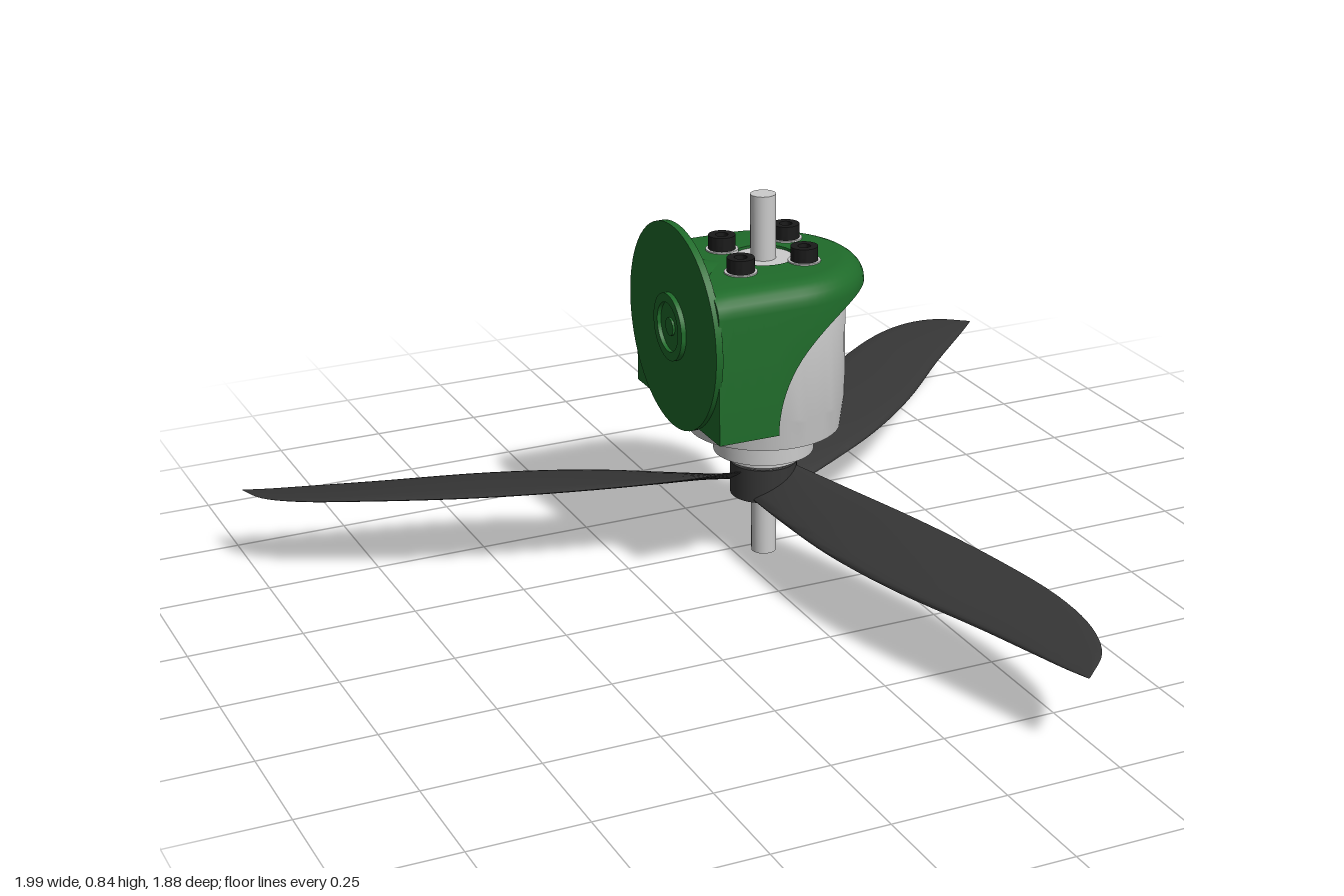
import * as THREE from 'three';
import { toCreasedNormals } from 'three/addons/utils/BufferGeometryUtils.js';

const mat = (color) => new THREE.MeshStandardMaterial({ color, side: THREE.DoubleSide });
const metal = mat(0xcccccc), green = mat(0x1f6b2a), dark = mat(0x363636), black = mat(0x1a1a1a);

function add(parent, name, geometry, material, x = 0, y = 0, z = 0) {
  const mesh = new THREE.Mesh(geometry, material);
  mesh.name = name;
  mesh.position.set(x, y, z);
  parent.add(mesh);
  return mesh;
}

// Skin over closed cross-section loops; wrap joins the last loop to the first
function skin(loops, wrap, crease) {
  const n = loops[0].length, m = loops.length, index = [];
  const pts = loops.flat();
  for (let i = 0; i < (wrap ? m : m - 1); i++) {
    for (let j = 0; j < n; j++) {
      const a = i * n + j, b = i * n + (j + 1) % n;
      const c = ((i + 1) % m) * n + j, d = ((i + 1) % m) * n + (j + 1) % n;
      index.push(a, b, d, a, d, c);
    }
  }
  // Turn the faces outward if the enclosed volume is negative
  let volume = 0;
  const v = new THREE.Vector3();
  for (let i = 0; i < index.length; i += 3) {
    volume += pts[index[i]].dot(v.crossVectors(pts[index[i + 1]], pts[index[i + 2]]));
  }
  if (volume < 0) index.reverse();
  const g = new THREE.BufferGeometry().setFromPoints(pts);
  g.setIndex(index);
  return toCreasedNormals(g, crease);
}

const lathe = (points) => toCreasedNormals(
  new THREE.LatheGeometry(points.map(([r, y]) => new THREE.Vector2(r, y)), 48), 0.6);

// Lower edge of the bracket wall: flat at the back, sweeping up to a lip
function wallBottom(x) {
  if (x <= -0.067) return 0.37;
  const u = Math.min(1, (0.218 - x) / 0.285);
  return 0.37 + 0.28 * Math.sqrt(Math.max(0, 1 - u * u));
}

// D-shaped bracket shell with a rounded top edge and a shaft hole
function bracketGeometry() {
  const half = [];
  for (let i = 0; i <= 16; i++) {
    const a = i / 16 * Math.PI / 2;
    half.push((r) => [r * Math.cos(a), r * Math.sin(a)]);
  }
  for (let i = 1; i <= 10; i++) half.push((r) => [-0.067 * (1 - (1 - i / 10) ** 2), r]);
  for (let i = 1; i <= 4; i++) half.push((r, back) => [-0.067 - (back - 0.067) * i / 4, r]);
  for (let i = 1; i <= 8; i++) half.push((r, back) => [-back, r * (1 - i / 8)]);
  const section = (at, sign) => {
    const loop = [];
    const put = ([x, z], y) => loop.push(new THREE.Vector3(x, y, z * sign));
    const [ox, oz] = at(0.22, 0.207), angle = Math.atan2(oz, ox);
    const hole = [0.07 * Math.cos(angle), 0.07 * Math.sin(angle)];
    put(hole, 0.70);
    for (let k = 0; k <= 6; k++) {
      const t = k / 6 * Math.PI / 2;
      put(at(0.165 + 0.055 * Math.sin(t), 0.207), 0.65 + 0.05 * Math.cos(t));
    }
    const inner = at(0.185, 0.175);
    put([ox, oz], wallBottom(ox) - 0.001);
    put(inner, wallBottom(inner[0]));
    put(inner, 0.66);
    put(hole, 0.66);
    return loop;
  };
  const loops = half.map((at) => section(at, 1));
  for (let i = half.length - 2; i > 0; i--) loops.push(section(half[i], -1));
  return skin(loops, true, 0.6);
}

// Twisted blade pointing along +z: sections between a low and a high edge
function bladeGeometry() {
  // distance out, low edge offset and height, high edge offset and height
  const stations = [
    [0.03, -0.05, 0.150, 0.055, 0.212], [0.2, -0.05, 0.155, 0.112, 0.205],
    [0.4, -0.04, 0.160, 0.17, 0.202], [0.62, 0.0, 0.163, 0.22, 0.200],
    [0.86, 0.07, 0.165, 0.251, 0.198], [1.0, 0.107, 0.166, 0.245, 0.190],
    [1.09, 0.13, 0.167, 0.212, 0.181], [1.15, 0.145, 0.170, 0.149, 0.171],
  ];
  const low = new THREE.CatmullRomCurve3(stations.map((s) => new THREE.Vector3(s[1], s[2], s[0])));
  const high = new THREE.CatmullRomCurve3(stations.map((s) => new THREE.Vector3(s[3], s[4], s[0])));
  const loops = [];
  for (let i = 0; i <= 35; i++) {
    const a = low.getPoint(i / 35), b = high.getPoint(i / 35);
    const thick = 0.05 * a.distanceTo(b);
    const loop = [];
    for (let k = 0; k < 20; k++) {
      const t = k / 20 * Math.PI * 2;
      const f = ((1 - Math.cos(t)) / 2) ** 1.4;
      const p = a.clone().lerp(b, f);
      p.y += thick * Math.sin(t);
      loop.push(p);
    }
    loops.push(loop);
  }
  return skin(loops, false, 0.9);
}

export function createModel() {
  const model = new THREE.Group();
  model.name = 'motorWithPropeller';
  const unit = new THREE.Group();
  unit.name = 'motorUnit';
  unit.position.set(0.067, 0, -0.217);
  model.add(unit);

  // Shaft and motor body
  add(unit, 'shaft', new THREE.CylinderGeometry(0.028, 0.028, 0.84, 24), metal, 0, 0.42, 0);
  add(unit, 'motorBody', lathe([
    [0, 0.222], [0.07, 0.222], [0.085, 0.232], [0.085, 0.25], [0.112, 0.25], [0.112, 0.308],
    [0.17, 0.31], [0.178, 0.37], [0.18, 0.38], [0.18, 0.58], [0.176, 0.62], [0.165, 0.65],
    [0.068, 0.652], [0.068, 0.695], [0, 0.695]]), metal);

  // Mounting bracket
  const bracket = new THREE.Group();
  bracket.name = 'bracket';
  unit.add(bracket);
  add(bracket, 'bracketShell', bracketGeometry(), green);
  const plate = add(bracket, 'backPlate', new THREE.CylinderGeometry(0.23, 0.23, 0.016, 64), green, -0.21, 0.57, 0);
  plate.rotation.z = Math.PI / 2;

  // Concave fillet from the plate down to the bracket top
  const curve = [];
  for (let i = 0; i <= 12; i++) {
    const t = i / 12 * Math.PI / 2;
    curve.push(new THREE.Vector2(0.23 - 0.1 * Math.sin(t), 0.1 * (1 - Math.cos(t))));
  }
  const fillet = add(bracket, 'plateFillet',
    new THREE.LatheGeometry(curve, 48, Math.PI, Math.PI), green, -0.203, 0.57, 0);
  fillet.rotation.z = -Math.PI / 2;

  // Round boss on the back of the plate
  const boss = add(bracket, 'backBoss', lathe([
    [0, 0.008], [0.02, 0.008], [0.02, 0.003], [0.055, 0.003], [0.055, 0.012], [0.075, 0.012],
    [0.075, 0]]), green, -0.217, 0.57, 0);
  boss.rotation.z = Math.PI / 2;

  // Top screws with their washers
  for (const [x, z] of [[-0.064, -0.075], [0.096, -0.085], [0.064, 0.072], [-0.092, 0.082]]) {
    add(unit, 'washer', new THREE.CylinderGeometry(0.036, 0.036, 0.01, 24), metal, x, 0.698, z);
    add(unit, 'screwHead', lathe([
      [0.03, 0], [0.03, 0.034], [0.014, 0.034], [0.014, 0.018], [0, 0.018]]), black, x, 0.7, z);
  }

  // Propeller
  const propeller = new THREE.Group();
  propeller.name = 'propeller';
  unit.add(propeller);
  add(propeller, 'hub', new THREE.CylinderGeometry(0.075, 0.075, 0.077, 40), dark, 0, 0.183, 0);
  const blade = bladeGeometry();
  for (let i = 0; i < 3; i++) {
    add(propeller, 'blade', blade, dark).rotation.y = i * Math.PI * 2 / 3;
  }
  return model;
}
